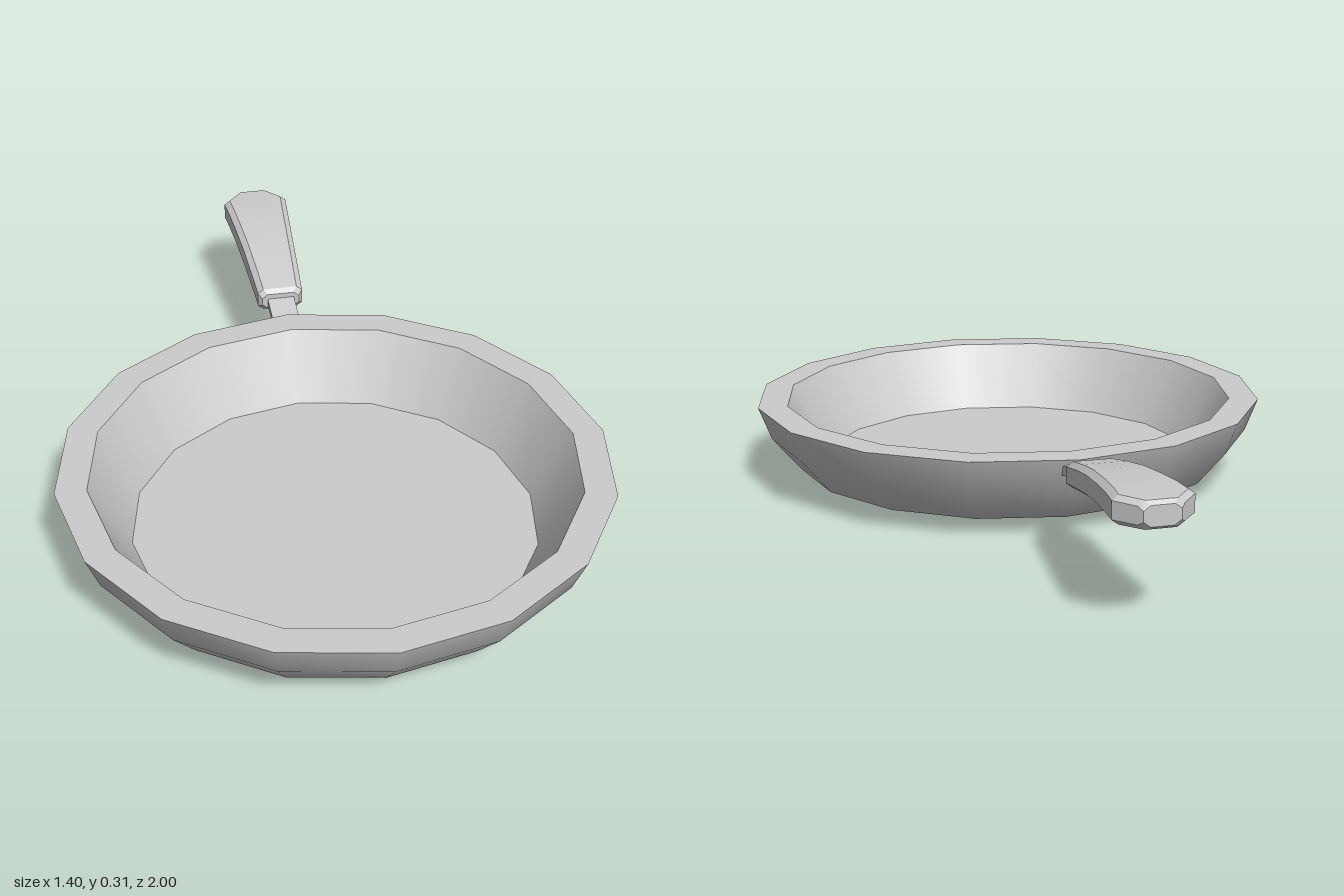
import * as THREE from 'three';
import { toCreasedNormals } from 'three/addons/utils/BufferGeometryUtils.js';

const material = new THREE.MeshStandardMaterial({ color: 0xcccccc });

function addMesh(parent, name, geometry) {
  const mesh = new THREE.Mesh(geometry, material);
  mesh.name = name;
  parent.add(mesh);
  return mesh;
}

// 16-sided surface of revolution from [radius, height] points
function lathe(points) {
  return new THREE.LatheGeometry(points.map(([r, y]) => new THREE.Vector2(r, y)), 16);
}

// Skin through cross-sections running towards -z, each { z, bottom, top, half },
// with corners bevelled by bx across and by upwards
function loft(sections, bx, by) {
  const positions = [], index = [];
  for (const { z, bottom, top, half } of sections) {
    const w = half - bx;
    positions.push(
      half, bottom + by, z, half, top - by, z, w, top, z, -w, top, z,
      -half, top - by, z, -half, bottom + by, z, -w, bottom, z, w, bottom, z
    );
  }
  const n = 8, last = (sections.length - 1) * n;
  for (let s = 0; s < sections.length - 1; s++) {
    for (let i = 0; i < n; i++) {
      const a = s * n + i, b = s * n + (i + 1) % n;
      index.push(a, a + n, b, b, a + n, b + n);
    }
  }
  // End caps
  for (let i = 1; i < n - 1; i++) {
    index.push(0, i, i + 1, last, last + i + 1, last + i);
  }
  const geometry = new THREE.BufferGeometry();
  geometry.setAttribute('position', new THREE.Float32BufferAttribute(positions, 3));
  geometry.setIndex(index);
  return toCreasedNormals(geometry, 0.45);
}

export function createModel() {
  const model = new THREE.Group();
  model.name = 'fryingPan';

  // Pan body: smooth shells with sharp edges where they meet
  const body = new THREE.Group();
  body.name = 'panBody';
  body.position.z = 0.3;
  model.add(body);
  addMesh(body, 'outerShell', lathe([[0, 0], [0.46, 0], [0.588, 0.04], [0.666, 0.133], [0.7, 0.222]]));
  addMesh(body, 'rim', lathe([[0.7, 0.222], [0.62, 0.222]]));
  addMesh(body, 'innerWall', lathe([[0.62, 0.222], [0.52, 0.04]]));
  addMesh(body, 'cookingSurface', lathe([[0.52, 0.04], [0, 0.04]]));

  // Handle: flat stem rising into a curved, flaring grip
  const handle = new THREE.Group();
  handle.name = 'handle';
  model.add(handle);

  const stem = new THREE.BoxGeometry(0.076, 0.024, 0.15);
  const p = stem.attributes.position;
  for (let i = 0; i < p.count; i++) p.setY(i, p.getY(i) - p.getZ(i) * 0.2);
  stem.computeVertexNormals();
  addMesh(handle, 'stem', stem).position.set(0, 0.203, -0.435);

  addMesh(handle, 'grip', loft([
    { z: -0.487, bottom: 0.195, top: 0.24, half: 0.053 },
    { z: -0.5, bottom: 0.186, top: 0.251, half: 0.064 },
    { z: -0.6, bottom: 0.205, top: 0.273, half: 0.07 },
    { z: -0.7, bottom: 0.222, top: 0.291, half: 0.076 },
    { z: -0.8, bottom: 0.234, top: 0.302, half: 0.083 },
    { z: -0.88, bottom: 0.239, top: 0.308, half: 0.089 },
    { z: -0.94, bottom: 0.241, top: 0.308, half: 0.094 },
    { z: -0.99, bottom: 0.242, top: 0.307, half: 0.052 },
    { z: -1.0, bottom: 0.25, top: 0.298, half: 0.043 },
  ], 0.016, 0.012));

  return model;
}
